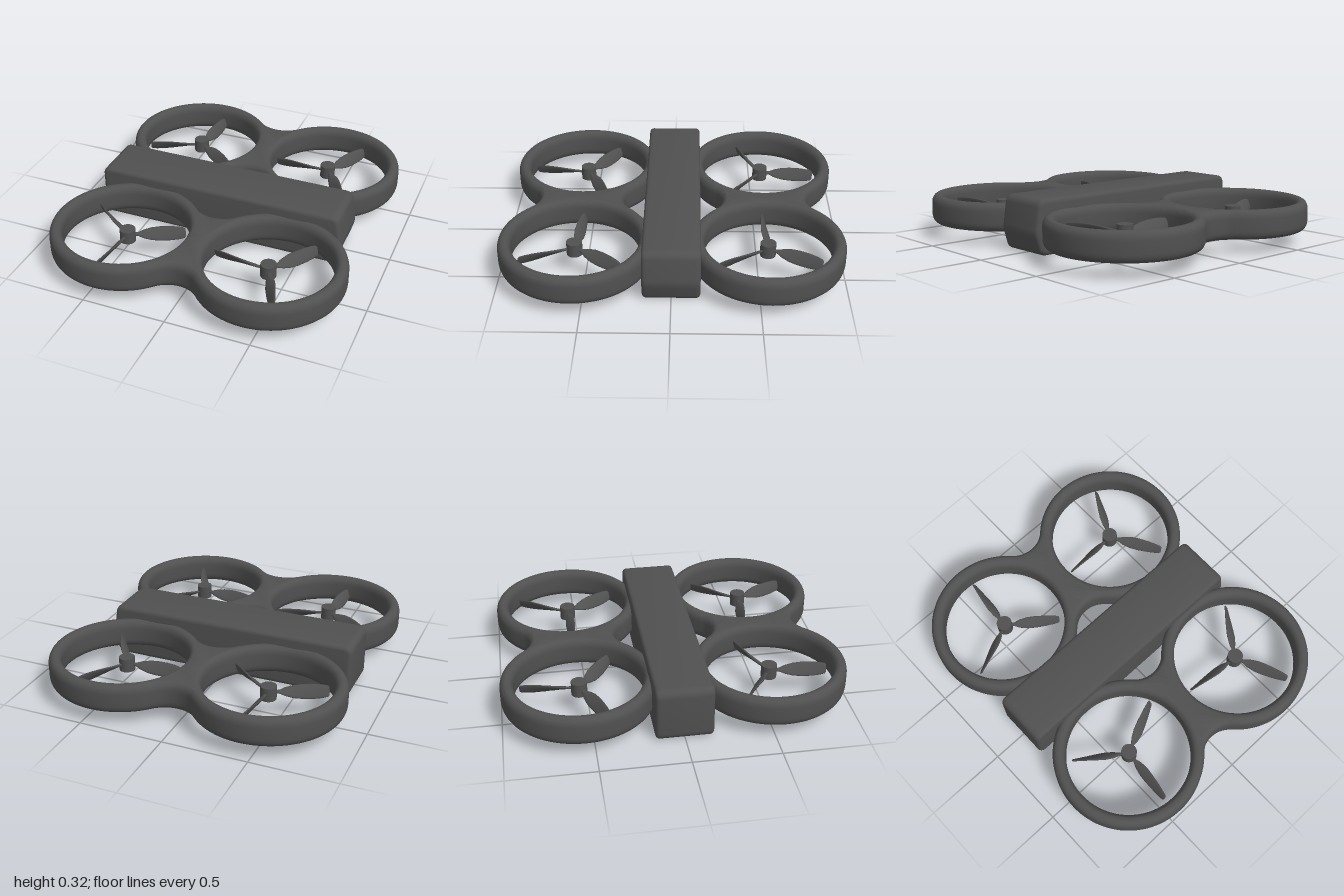
import * as THREE from 'three';
import { toCreasedNormals } from 'three/addons/utils/BufferGeometryUtils.js';

const material = new THREE.MeshStandardMaterial({ color: 0x505050 });

function addMesh(parent, name, geometry) {
  const mesh = new THREE.Mesh(geometry, material);
  mesh.name = name;
  parent.add(mesh);
  return mesh;
}

// Closed polygon with each corner rounded off
function roundedPolygon(points, radius) {
  const shape = new THREE.Shape();
  const pts = points.map(([x, y]) => new THREE.Vector2(x, y));
  pts.forEach((p, i) => {
    const toward = (q) => q.clone().sub(p).setLength(radius).add(p);
    const a = toward(pts[(i + pts.length - 1) % pts.length]);
    const b = toward(pts[(i + 1) % pts.length]);
    if (i === 0) shape.moveTo(a.x, a.y);
    else shape.lineTo(a.x, a.y);
    shape.quadraticCurveTo(p.x, p.y, b.x, b.y);
  });
  shape.closePath();
  return shape;
}

// Long central box with one slightly pointed end
function bodyGeometry() {
  const b = 0.025;
  const shape = roundedPolygon([
    [-0.795 + b, b], [0.71 - b, b], [0.74 - b, 0.13], [0.715 - b, 0.32 - b], [-0.795 + b, 0.32 - b],
  ], 0.022);
  const geometry = new THREE.ExtrudeGeometry(shape, {
    depth: 0.33 - 2 * b, bevelSize: b, bevelThickness: b, bevelSegments: 4, curveSegments: 6,
  });
  geometry.translate(0, 0, -0.165 + b);
  return toCreasedNormals(geometry, 0.5);
}

// Two guard rings joined by a filleted web, with rounded edges
function guardGeometry() {
  const cx = 0.44, outer = 0.443, inner = 0.367, fillet = 0.166, h = 0.421;
  const size = 0.034, thick = 0.05, height = 0.17;
  const a = Math.atan2(h, cx), R = outer - size, F = fillet + size;
  const shape = new THREE.Shape();
  shape.absarc(cx, 0, R, a - Math.PI, Math.PI - a, false);
  shape.absarc(0, h, F, -a, a - Math.PI, true);
  shape.absarc(-cx, 0, R, a, 2 * Math.PI - a, false);
  shape.absarc(0, -h, F, Math.PI - a, a, true);
  for (const s of [-1, 1]) {
    const hole = new THREE.Path();
    hole.absarc(s * cx, 0, inner + size, 0, 2 * Math.PI, true);
    shape.holes.push(hole);
  }
  const geometry = new THREE.ExtrudeGeometry(shape, {
    depth: height - 2 * thick, bevelSize: size, bevelThickness: thick, bevelSegments: 6, curveSegments: 36,
  });
  geometry.translate(0, 0, thick - height / 2);
  geometry.rotateX(-Math.PI / 2);
  return toCreasedNormals(geometry, 0.8);
}

// Twisted blade along +x: [radius, half chord, half thickness, pitch in degrees]
function bladeGeometry() {
  const sections = [
    [0.03, 0.010, 0.008, 30], [0.06, 0.012, 0.008, 32], [0.09, 0.026, 0.009, 38],
    [0.14, 0.038, 0.010, 46], [0.19, 0.042, 0.009, 54], [0.25, 0.042, 0.008, 62],
    [0.30, 0.038, 0.007, 68], [0.33, 0.032, 0.006, 71], [0.337, 0.022, 0.003, 71], [0.338, 0.0005, 0.0005, 71],
  ];
  const n = 14, positions = [], index = [];
  sections.forEach(([r, c, t, pitch], j) => {
    const p = THREE.MathUtils.degToRad(pitch);
    for (let k = 0; k < n; k++) {
      const u = c * Math.cos((2 * Math.PI * k) / n), v = t * Math.sin((2 * Math.PI * k) / n);
      positions.push(r, v * Math.cos(p) - u * Math.sin(p), v * Math.sin(p) + u * Math.cos(p));
      if (j === sections.length - 1) continue;
      const a = j * n + k, b = j * n + ((k + 1) % n);
      index.push(a, a + n, b, b, a + n, b + n);
    }
  });
  const geometry = new THREE.BufferGeometry();
  geometry.setAttribute('position', new THREE.Float32BufferAttribute(positions, 3));
  geometry.setIndex(index);
  geometry.computeVertexNormals();
  return geometry;
}

export function createModel() {
  const model = new THREE.Group();
  model.name = 'quadcopter';
  addMesh(model, 'body', bodyGeometry());

  // Front and back pairs of guard rings
  const guard = guardGeometry();
  addMesh(model, 'frontGuard', guard).position.set(0, 0.17, 0.554);
  addMesh(model, 'backGuard', guard).position.set(0, 0.17, -0.554);

  // Propellers: name, x, z, turn in degrees
  const blade = bladeGeometry();
  const hub = new THREE.CylinderGeometry(0.046, 0.046, 0.08, 32);
  const propellers = [
    ['backRightPropeller', -0.443, -0.553, 84], ['backLeftPropeller', 0.435, -0.553, 62],
    ['frontRightPropeller', -0.435, 0.553, 24.5], ['frontLeftPropeller', 0.44, 0.56, 54],
  ];
  for (const [name, x, z, turn] of propellers) {
    const propeller = new THREE.Group();
    propeller.name = name;
    propeller.position.set(x, 0.17, z);
    addMesh(propeller, 'hub', hub);
    for (let i = 0; i < 3; i++) {
      addMesh(propeller, 'blade', blade).rotation.y = THREE.MathUtils.degToRad(turn + 120 * i);
    }
    model.add(propeller);
  }
  return model;
}
